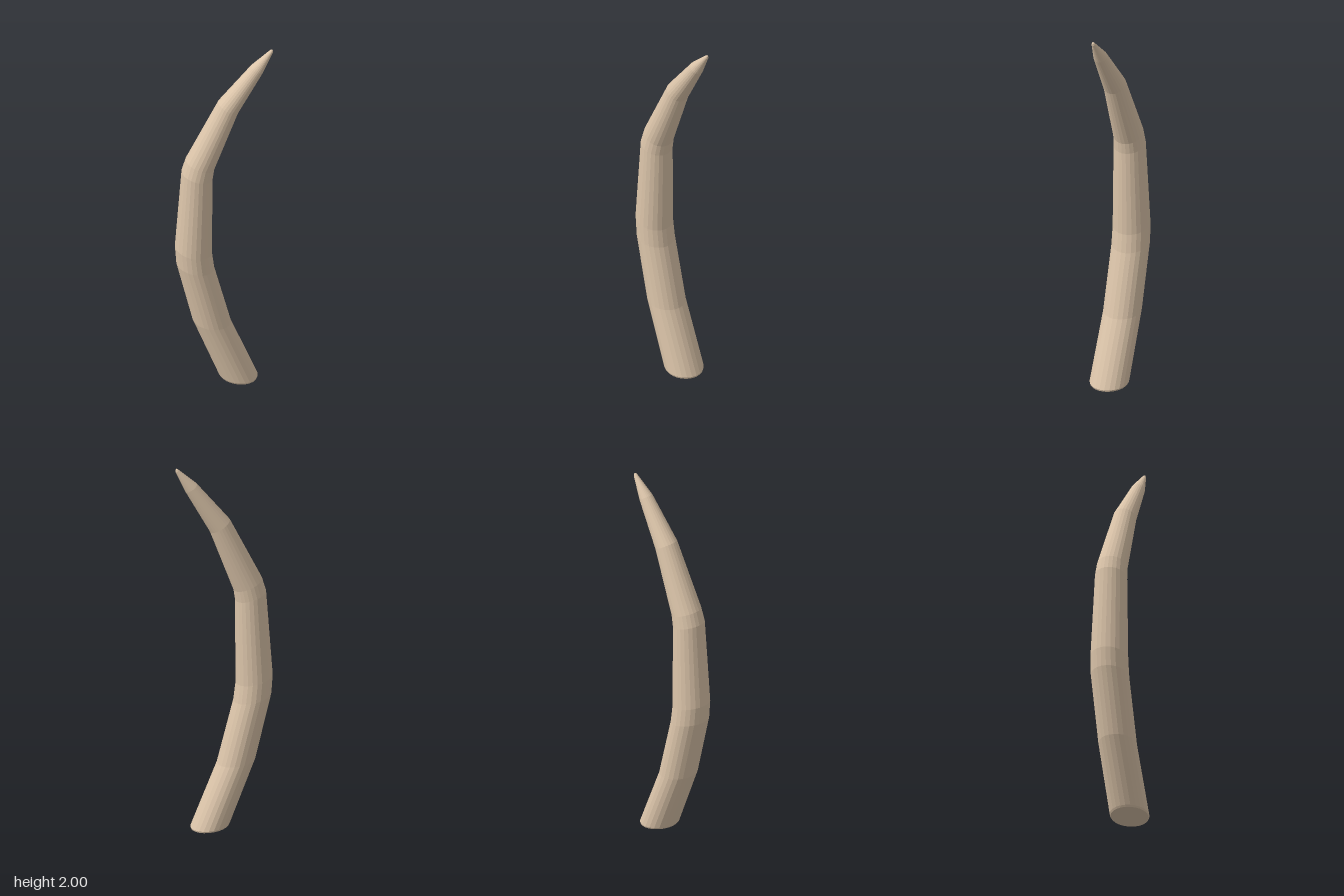
import * as THREE from 'three';

// Rings from base to tip: centre x, y, z, radius, tilt towards the curve's inner side
const RINGS = [
  [0.063, 0.013, 0.063, 0, 0.12],
  [0.063, 0.013, 0.063, 0.098, 0.12],
  [0.062, 0.022, 0.062, 0.102, 0.12],
  [-0.038, 0.365, -0.028, 0.099, 0.12],
  [-0.1, 0.71, -0.085, 0.099, 0.2],
  [-0.108, 0.81, -0.091, 0.097, 0.22],
  [-0.094, 1.27, -0.078, 0.083, 0.28],
  [-0.082, 1.335, -0.069, 0.079, 0.38],
  [0.027, 1.67, 0.027, 0.06, 0.55],
  [0.137, 1.89, 0.127, 0.036, 0.6],
  [0.193, 1.99, 0.175, 0.01, 0.6],
  [0.196, 1.998, 0.178, 0.006, 0.6],
  [0.197, 2.0, 0.179, 0, 0.6],
];
const SIDES = 24;
const DX = 0.73, DZ = 0.683; // horizontal direction of the bend

// Skins the rings; zero-radius rings close the ends
function tuskGeometry() {
  const pos = [], index = [];
  RINGS.forEach(([x, y, z, r, tilt], i) => {
    for (let j = 0; j < SIDES; j++) {
      const a = (j / SIDES) * Math.PI * 2;
      const u = r * Math.cos(a), v = r * Math.sin(a), h = u * Math.cos(tilt);
      pos.push(x + h * DX + v * DZ, y - u * Math.sin(tilt), z + h * DZ - v * DX);
      if (i === RINGS.length - 1) continue;
      const p = i * SIDES + j, q = i * SIDES + (j + 1) % SIDES;
      if (r > 0) index.push(p, q, p + SIDES);
      if (RINGS[i + 1][3] > 0) index.push(q, q + SIDES, p + SIDES);
    }
  });
  const g = new THREE.BufferGeometry();
  g.setAttribute('position', new THREE.Float32BufferAttribute(pos, 3));
  g.setIndex(index);
  const flat = g.toNonIndexed();
  flat.computeVertexNormals();
  return flat;
}

export function createModel() {
  const group = new THREE.Group();
  group.name = 'curvedTusk';
  const ivory = new THREE.MeshStandardMaterial({ color: 0xdcc5aa, flatShading: true });
  const tusk = new THREE.Mesh(tuskGeometry(), ivory);
  tusk.name = 'tusk';
  group.add(tusk);
  return group;
}
